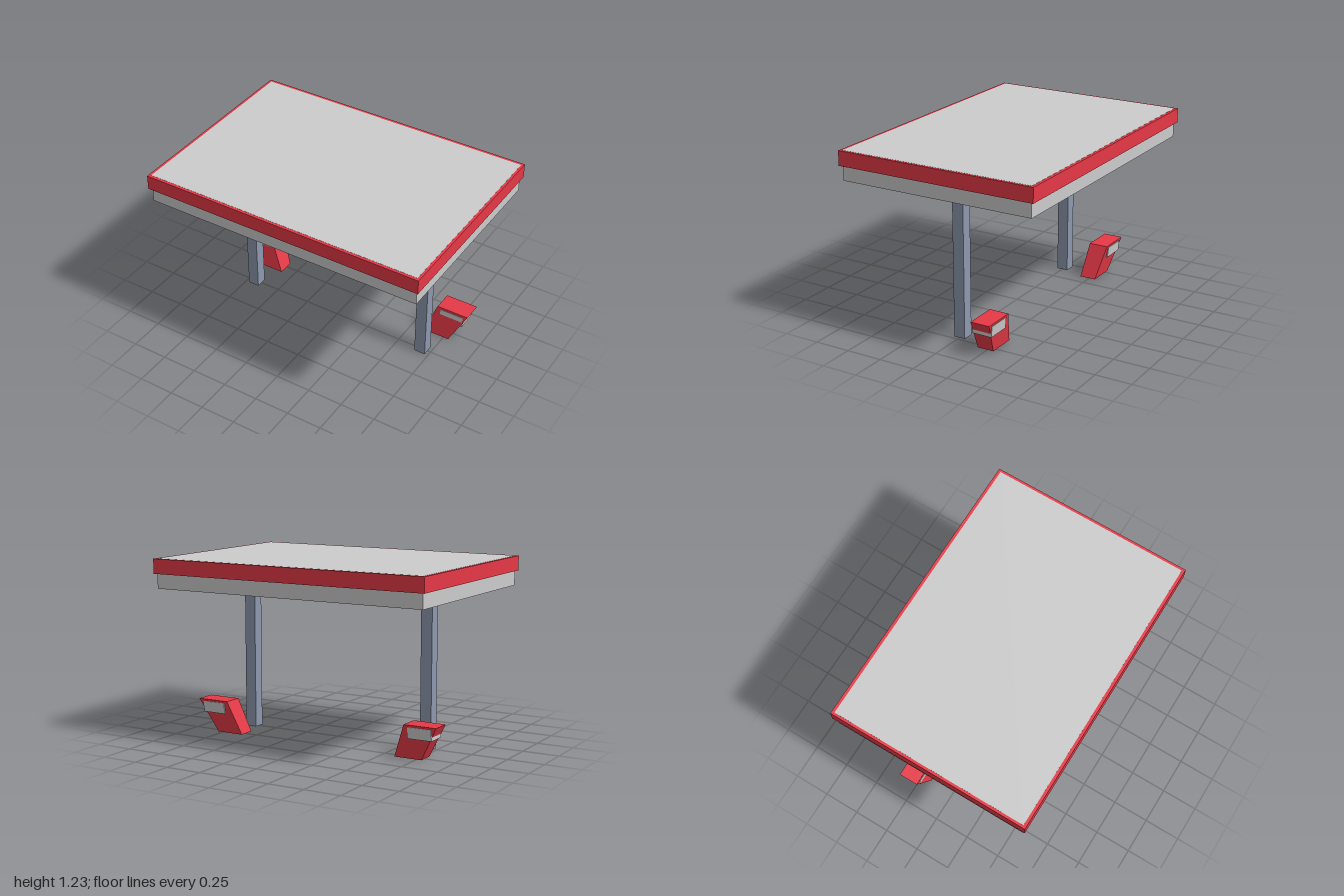
import * as THREE from 'three';

const red = new THREE.MeshStandardMaterial({ color: 0xe63946, flatShading: true });
const grey = new THREE.MeshStandardMaterial({ color: 0xcccccc, flatShading: true });
const steel = new THREE.MeshStandardMaterial({ color: 0x8d99ae, flatShading: true });

// Box whose bottom and top rectangles differ: each is { x, z, w, d } (centre and size)
function taperedBox(name, material, y0, y1, bottom, top) {
  const geometry = new THREE.BoxGeometry(1, 1, 1);
  const p = geometry.attributes.position;
  for (let i = 0; i < p.count; i++) {
    const upper = p.getY(i) > 0;
    const r = upper ? top : bottom;
    p.setXYZ(i, r.x + p.getX(i) * r.w, upper ? y1 : y0, r.z + p.getZ(i) * r.d);
  }
  geometry.computeVertexNormals();
  const mesh = new THREE.Mesh(geometry, material);
  mesh.name = name;
  return mesh;
}

function straightBox(name, material, y0, y1, rect) {
  return taperedBox(name, material, y0, y1, rect, rect);
}

export function createModel() {
  const model = new THREE.Group();
  model.name = 'fuelStationCanopy';

  // Canopy: red fascia around a grey deck that also hangs below it
  model.add(
    straightBox('canopyFascia', red, 1.126, 1.226, { x: 0, z: 0, w: 2, d: 1.41 }),
    straightBox('canopyDeck', grey, 1.026, 1.227, { x: 0, z: 0, w: 1.965, d: 1.37 })
  );

  for (const [side, s] of [['left', 1], ['right', -1]]) {
    // Square support column
    model.add(straightBox(side + 'Column', steel, 0, 1.026, { x: 0.685 * s, z: 0, w: 0.08, d: 0.08 }));

    // Pump leaning outward and back, widening towards the top
    const pump = new THREE.Group();
    pump.name = side + 'Pump';
    pump.add(
      taperedBox('pumpBody', red, 0, 0.23,
        { x: 0.689 * s, z: -0.237, w: 0.195, d: 0.116 },
        { x: 0.795 * s, z: -0.273, w: 0.23, d: 0.137 }),
      // Display block showing through the back and outer faces
      taperedBox('pumpDisplay', grey, 0.14, 0.215,
        { x: 0.79 * s, z: -0.266, w: 0.17, d: 0.138 },
        { x: 0.79 * s, z: -0.271, w: 0.17, d: 0.142 })
    );
    model.add(pump);
  }
  return model;
}
